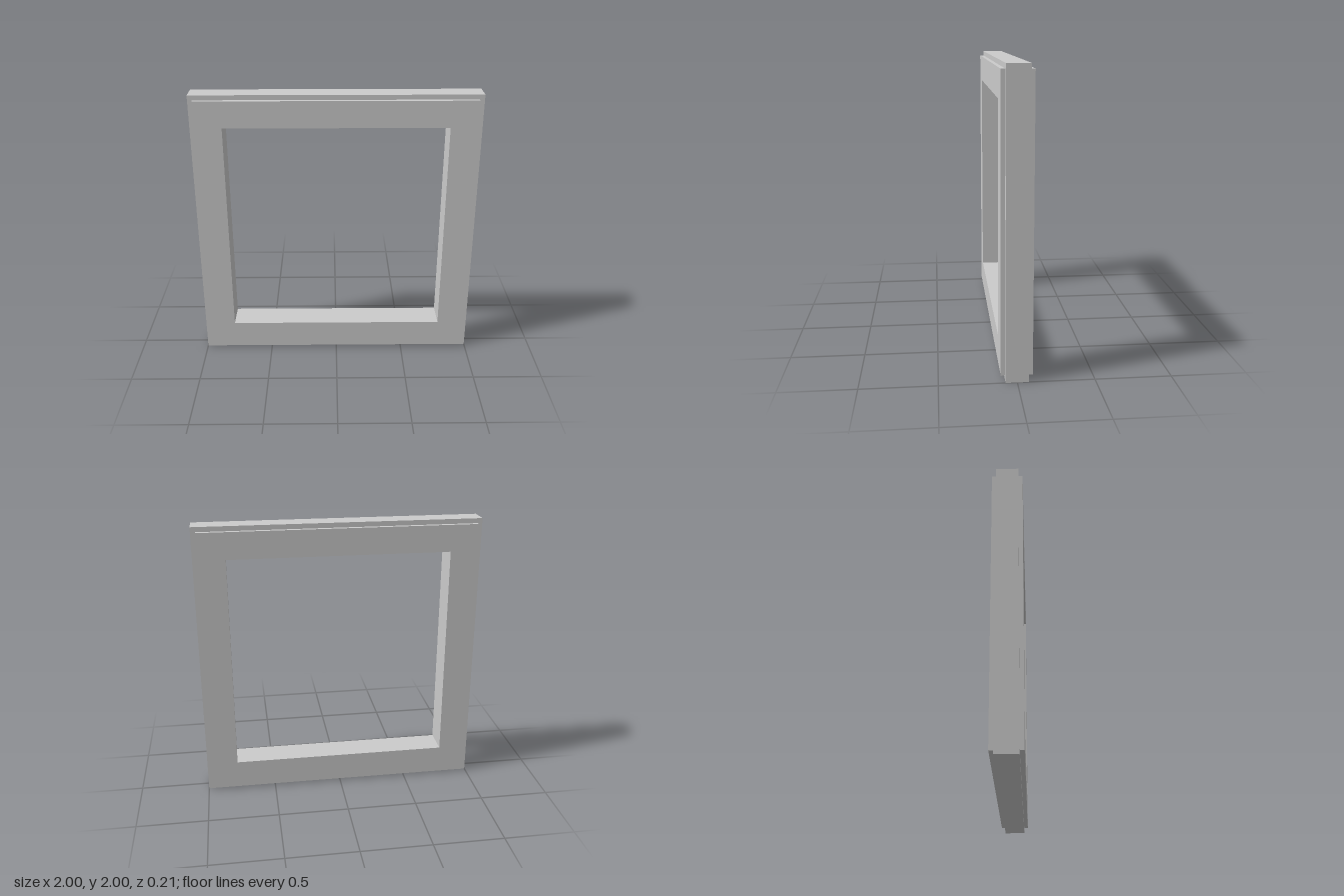
import * as THREE from 'three';

// Square ring: sweeps a closed [halfWidth, z] profile around four mitred corners
function squareRing(profile) {
  const points = profile.map(([half, z]) => new THREE.Vector2(half * Math.SQRT2, z));
  const geometry = new THREE.LatheGeometry(points, 4, Math.PI / 4).toNonIndexed();
  geometry.rotateX(Math.PI / 2); // lathe axis to z
  geometry.computeVertexNormals();
  return geometry;
}

export function createModel() {
  const group = new THREE.Group();
  group.name = 'windowFrame';
  const material = new THREE.MeshStandardMaterial({ color: 0xcccccc, flatShading: true });

  const outer = 1, facing = 0.966, opening = 0.777; // half widths
  const coreZ = 0.075, faceZ = 0.103; // half depths

  // Frame with a raised facing on the front and the back
  const frame = new THREE.Mesh(squareRing([
    [opening, -faceZ],
    [facing, -faceZ],
    [facing, -coreZ],
    [outer, -coreZ],
    [outer, coreZ],
    [facing, coreZ],
    [facing, faceZ],
    [opening, faceZ],
    [opening, -faceZ],
  ]), material);
  frame.name = 'frame';
  frame.position.y = outer;
  group.add(frame);
  return group;
}
